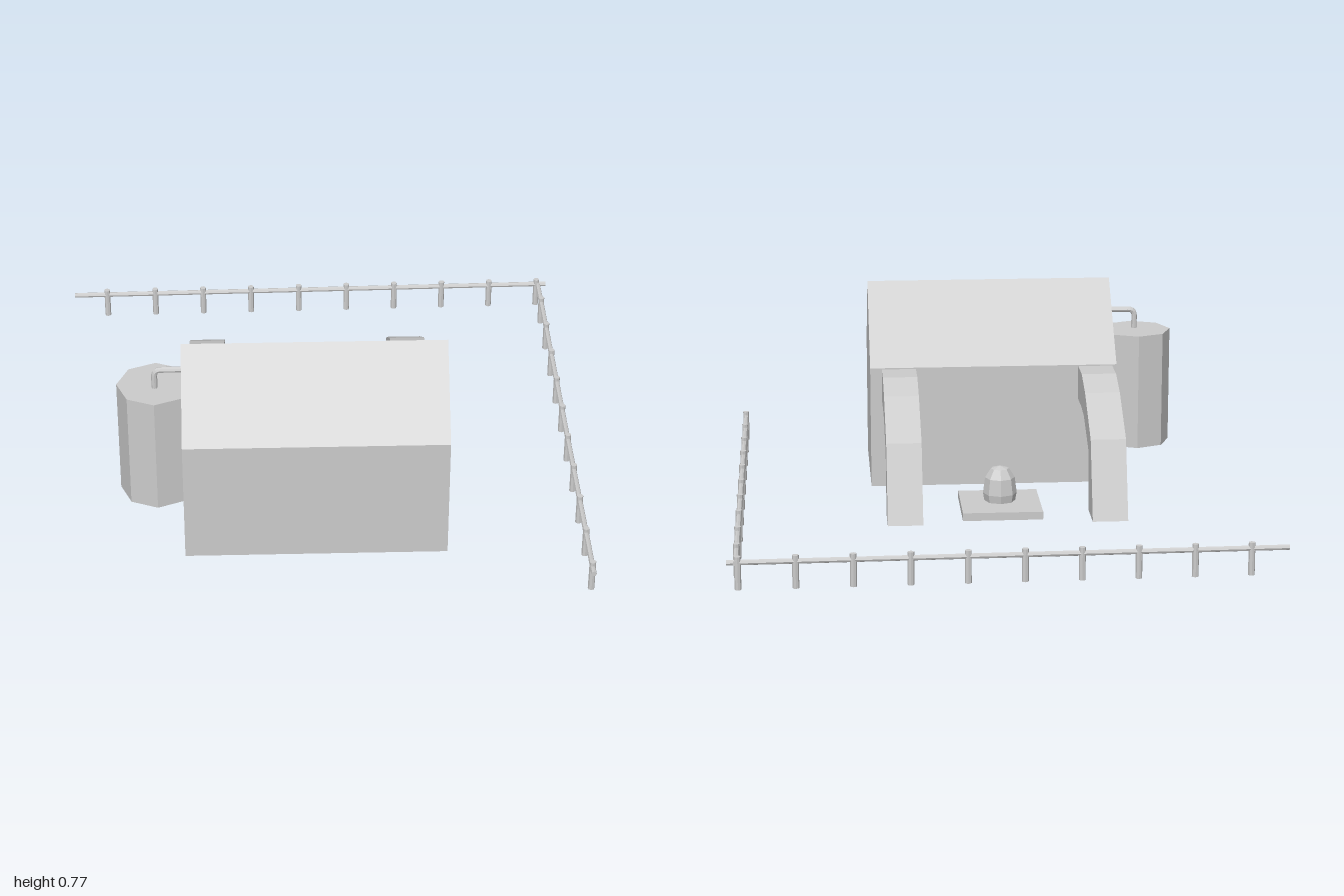
import * as THREE from 'three';

const material = new THREE.MeshStandardMaterial({ color: 0xcccccc, flatShading: true });

function part(name, geometry, x = 0, y = 0, z = 0) {
  const mesh = new THREE.Mesh(geometry, material);
  mesh.name = name;
  mesh.position.set(x, y, z);
  return mesh;
}

// Extrudes a side profile of [z, y] points from x0 to x1
function sideExtrude(name, profile, x0, x1) {
  const shape = new THREE.Shape(profile.map(([z, y]) => new THREE.Vector2(z, y)));
  const geometry = new THREE.ExtrudeGeometry(shape, { depth: x1 - x0, bevelEnabled: false });
  geometry.rotateY(-Math.PI / 2);
  return part(name, geometry, x1);
}

// Straight round bar between two points
function bar(name, a, b, radius, sides = 8) {
  const dir = b.clone().sub(a);
  const mesh = part(name, new THREE.CylinderGeometry(radius, radius, dir.length(), sides));
  mesh.position.copy(a).add(b).multiplyScalar(0.5);
  mesh.quaternion.setFromUnitVectors(new THREE.Vector3(0, 1, 0), dir.normalize());
  return mesh;
}

// Rail on evenly spaced posts; first and last are fractions along the rail
function fence(name, a, b, first, last, count) {
  const group = new THREE.Group();
  group.name = name;
  group.add(bar('fenceRail', a, b, 0.01));
  for (let i = 0; i < count; i++) {
    const p = a.clone().lerp(b, first + ((last - first) * i) / (count - 1));
    group.add(part('fencePost', new THREE.CylinderGeometry(0.012, 0.012, 0.12, 8), p.x, 0.06, p.z));
  }
  return group;
}

export function createModel() {
  const model = new THREE.Group();
  model.name = 'farmhouse';
  const v = (x, y, z) => new THREE.Vector3(x, y, z);

  // Gabled house
  model.add(sideExtrude('house',
    [[0.735, 0.01], [0.735, 0.485], [0.485, 0.77], [0.198, 0.485], [0.198, 0.01]], -0.51, 0.45));

  // Curved buttress arms behind the house
  const arm = [[0.2, 0.48], [0.07, 0.48], [-0.055, 0.437], [-0.262, 0.31], [-0.362, 0.02],
    [-0.215, 0.02], [-0.185, 0.25], [-0.02, 0.337], [0.07, 0.35], [0.2, 0.35]];
  model.add(sideExtrude('rightArm', arm, -0.493, -0.36));
  model.add(sideExtrude('leftArm', arm, 0.273, 0.405));

  // Water tank with its bent pipe
  model.add(part('tank', new THREE.CylinderGeometry(0.14, 0.14, 0.455, 8), -0.61, 0.3425, 0.438));
  const pipe = new THREE.CurvePath();
  pipe.add(new THREE.LineCurve3(v(-0.61, 0.55, 0.46), v(-0.61, 0.62, 0.46)));
  pipe.add(new THREE.QuadraticBezierCurve3(v(-0.61, 0.62, 0.46), v(-0.61, 0.645, 0.46), v(-0.585, 0.645, 0.46)));
  pipe.add(new THREE.LineCurve3(v(-0.585, 0.645, 0.46), v(-0.49, 0.645, 0.46)));
  model.add(part('tankPipe', new THREE.TubeGeometry(pipe, 24, 0.011, 8)));

  // Yard slab with a faceted pot
  model.add(part('slab', new THREE.BoxGeometry(0.3, 0.03, 0.295), -0.025, 0.045, -0.203));
  const pot = [[0, 0.01], [0.03, 0.012], [0.056, 0.045], [0.064, 0.09], [0.056, 0.15], [0.034, 0.185], [0, 0.195]];
  model.add(part('pot', new THREE.LatheGeometry(pot.map(([r, y]) => new THREE.Vector2(r, y)), 8), -0.025, 0, -0.185));

  // Fences along the back and the left side
  model.add(fence('backFence', v(-0.99, 0.098, -0.955), v(0.985, 0.098, -0.99), 0.068, 0.98, 10));
  model.add(fence('sideFence', v(0.952, 0.098, 1), v(0.952, 0.098, -1), 0.022, 0.921, 10));
  return model;
}
